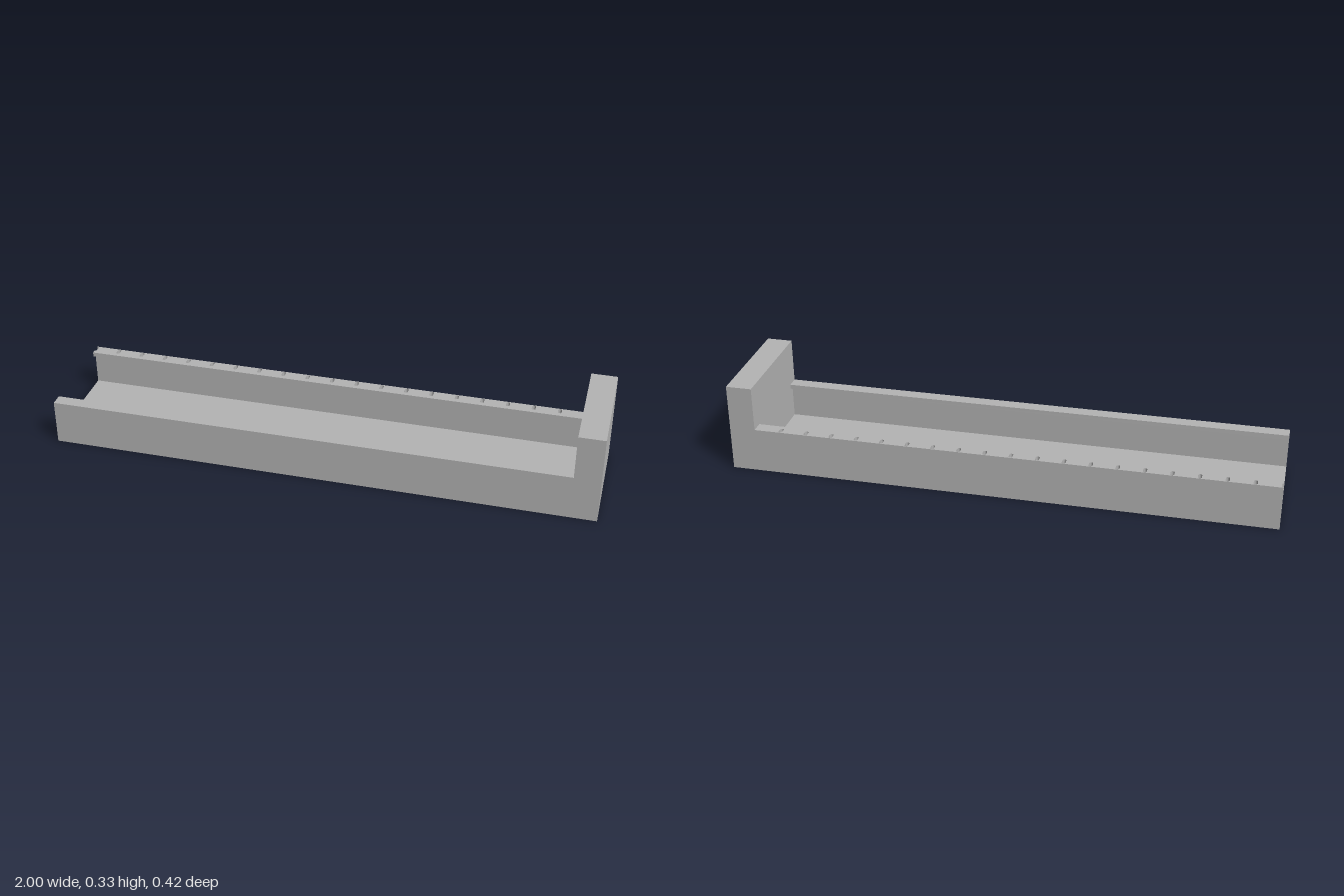
import * as THREE from 'three';

const HALF_WIDTH = 0.212, WALL = 0.027, LIP = 0.047, FLOOR = 0.028;
const RAIL_TOP = 0.167, LIP_BOTTOM = 0.15, STOP_X = 0.905, STOP_TOP = 0.333;

export function createModel() {
  const group = new THREE.Group();
  const grey = new THREE.MeshStandardMaterial({ color: 0xb3b3b3 });
  grey.name = 'grey';

  const add = (name, geometry) => {
    const mesh = new THREE.Mesh(geometry, grey);
    mesh.name = name;
    group.add(mesh);
    return mesh;
  };

  // Channel: floor, both walls and the front lip, as one section run along x
  const inner = HALF_WIDTH - WALL;
  const section = new THREE.Shape([
    [-HALF_WIDTH, 0], [HALF_WIDTH, 0], [HALF_WIDTH, LIP_BOTTOM], [inner, LIP_BOTTOM],
    [inner, FLOOR], [-inner, FLOOR], [-inner, LIP_BOTTOM], [LIP - HALF_WIDTH, LIP_BOTTOM],
    [LIP - HALF_WIDTH, RAIL_TOP], [-HALF_WIDTH, RAIL_TOP],
  ].map(([s, y]) => new THREE.Vector2(s, y)));
  const channel = new THREE.ExtrudeGeometry(section, { depth: STOP_X + 1, bevelEnabled: false });
  channel.rotateY(Math.PI / 2);
  channel.translate(-1, 0, 0);
  add('channel', channel);

  // Back lip: a strip pierced by a row of rounded slots, the first cut in half by the end
  const slotR = 0.007, slotLow = 0.188, slotHigh = 0.203, pitch = 0.0952;
  const strip = new THREE.Shape();
  strip.moveTo(-1, HALF_WIDTH - LIP);
  strip.lineTo(STOP_X, HALF_WIDTH - LIP);
  strip.lineTo(STOP_X, HALF_WIDTH);
  strip.lineTo(-1, HALF_WIDTH);
  strip.lineTo(-1, slotHigh + slotR);
  strip.absarc(-1, slotHigh, slotR, Math.PI / 2, 0, true);
  strip.absarc(-1, slotLow, slotR, 0, -Math.PI / 2, true);
  strip.closePath();
  for (let i = 1; i < 20; i++) {
    const x = -1 + i * pitch;
    const slot = new THREE.Path();
    slot.absarc(x, slotHigh, slotR, 0, Math.PI, false);
    slot.absarc(x, slotLow, slotR, Math.PI, 2 * Math.PI, false);
    slot.closePath();
    strip.holes.push(slot);
  }
  const lip = new THREE.ExtrudeGeometry(strip, {
    depth: RAIL_TOP - LIP_BOTTOM, bevelEnabled: false, curveSegments: 6,
  });
  lip.rotateX(-Math.PI / 2);
  lip.translate(0, LIP_BOTTOM, 0);
  add('slottedLip', lip);

  // End stop block
  add('endStop', new THREE.BoxGeometry(1 - STOP_X, STOP_TOP, HALF_WIDTH * 2))
    .position.set((1 + STOP_X) / 2, STOP_TOP / 2, 0);

  return group;
}
